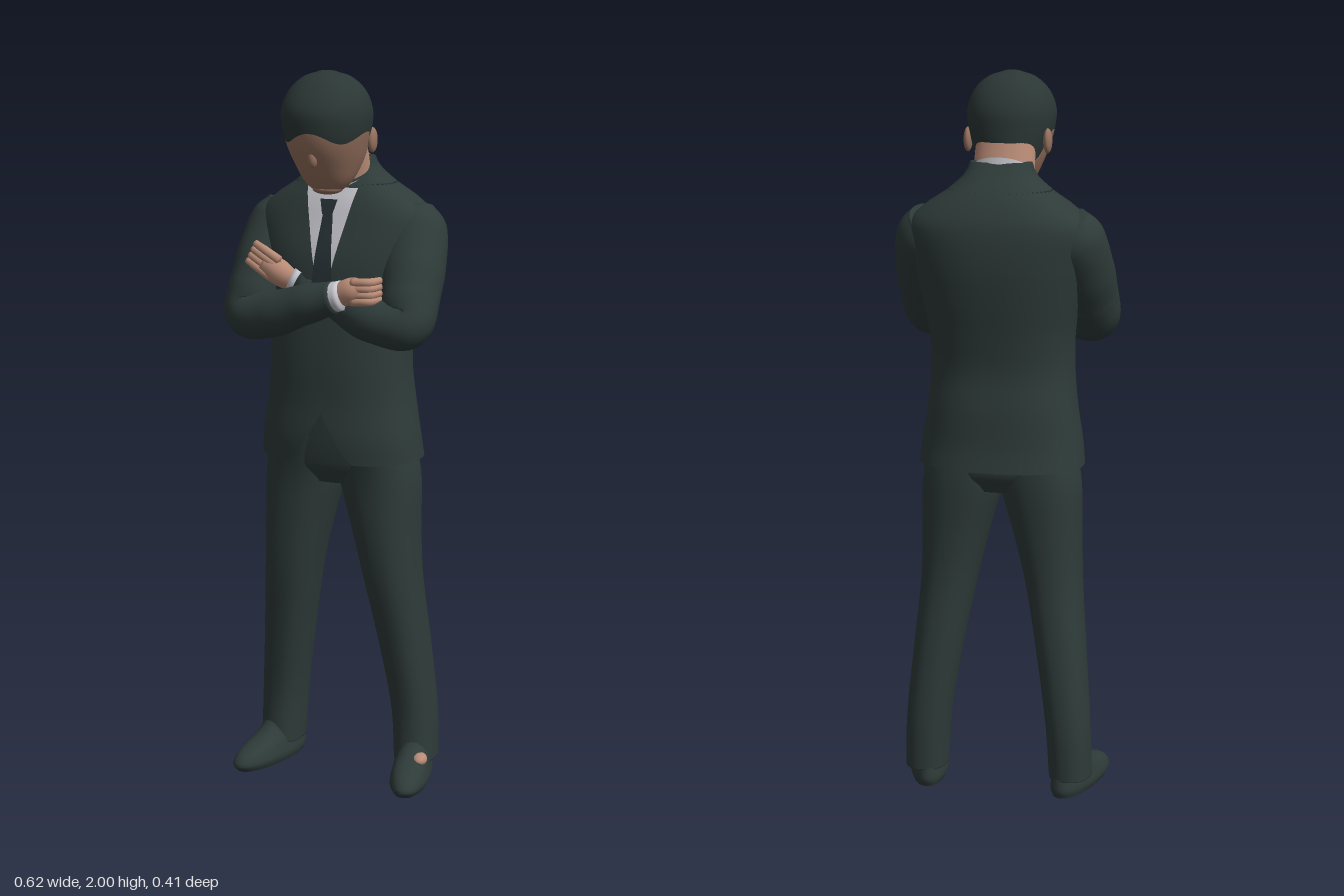
import * as THREE from 'three';

const mat = (name, color, side = THREE.FrontSide) => {
  const m = new THREE.MeshStandardMaterial({ color, side });
  m.name = name;
  return m;
};

// Grid of points fn(s, t): s runs along the rows, t around the columns.
function grid(rows, cols, fn, { closed = true, caps = null } = {}) {
  const pos = [], idx = [], w = closed ? cols : cols + 1;
  for (let i = 0; i <= rows; i++)
    for (let j = 0; j < w; j++) pos.push(...fn(i / rows, j / cols).toArray());
  for (let i = 0; i < rows; i++)
    for (let j = 0; j < cols; j++) {
      const k = (j + 1) % w, a = i * w + j, b = i * w + k;
      idx.push(a, b, b + w, a, b + w, a + w);
    }
  if (caps) {
    const n = pos.length / 3;
    pos.push(...caps[0].toArray(), ...caps[1].toArray());
    for (let j = 0; j < w; j++) {
      const k = (j + 1) % w;
      idx.push(n, k, j, n + 1, rows * w + j, rows * w + k);
    }
  }
  const g = new THREE.BufferGeometry();
  g.setAttribute('position', new THREE.Float32BufferAttribute(pos, 3));
  g.setIndex(idx);
  g.computeVertexNormals();
  return g;
}

// Smooth interpolation of cross-sections [y, xMin, xMax, zMin, zMax].
function sectionAt(tab, y) {
  let i = 0;
  while (i < tab.length - 2 && y > tab[i + 1][0]) i++;
  const p = tab[Math.max(i - 1, 0)], a = tab[i], b = tab[i + 1], q = tab[Math.min(i + 2, tab.length - 1)];
  const h = b[0] - a[0], t = THREE.MathUtils.clamp((y - a[0]) / h, 0, 1);
  return [1, 2, 3, 4].map((c) => {
    const m0 = (b[c] - p[c]) / (b[0] - p[0]) * h, m1 = (q[c] - a[c]) / (q[0] - a[0]) * h;
    const t2 = t * t, t3 = t2 * t;
    return (2 * t3 - 3 * t2 + 1) * a[c] + (t3 - 2 * t2 + t) * m0 + (3 * t2 - 2 * t3) * b[c] + (t3 - t2) * m1;
  });
}

// Rounded body through the sections; lo and hi may vary with the angle (0 = front).
function loft(tab, { n = 2, rows = 32, cols = 48, lo, hi, cap = true } = {}) {
  const low = lo || (() => tab[0][0]), high = hi || (() => tab[tab.length - 1][0]);
  const pw = (v) => Math.sign(v) * Math.pow(Math.abs(v), 2 / n);
  const mid = (y) => {
    const [a, b, c, d] = sectionAt(tab, y);
    return new THREE.Vector3((a + b) / 2, y, (c + d) / 2);
  };
  return grid(rows, cols, (s, t) => {
    const th = t * Math.PI * 2, k = (1 - Math.cos(s * Math.PI)) / 2;
    const y = low(th) + (high(th) - low(th)) * k;
    const [x0, x1, z0, z1] = sectionAt(tab, y);
    return new THREE.Vector3((x0 + x1) / 2 + (x1 - x0) / 2 * pw(Math.sin(th)), y,
      (z0 + z1) / 2 + (z1 - z0) / 2 * pw(Math.cos(th)));
  }, { caps: cap ? [mid(low(0)), mid(high(0))] : null });
}

// Round limb through points [x, y, z, radius].
function limb(pts, rows = 28, cols = 20) {
  const path = new THREE.CatmullRomCurve3(pts.map((p) => new THREE.Vector3(p[0], p[1], p[2])));
  const rad = (s) => {
    const f = s * (pts.length - 1), i = Math.min(Math.floor(f), pts.length - 2);
    return THREE.MathUtils.lerp(pts[i][3], pts[i + 1][3], THREE.MathUtils.smoothstep(f - i, 0, 1));
  };
  const rings = [];
  let nrm = new THREE.Vector3(0.1, 0.2, 1);
  for (let i = 0; i <= rows; i++) {
    const T = path.getTangent(i / rows);
    nrm = nrm.clone().addScaledVector(T, -nrm.dot(T)).normalize();
    rings.push({ c: path.getPoint(i / rows), T, N: nrm, B: T.clone().cross(nrm), r: rad(i / rows) });
  }
  const end = (o, d) => o.c.clone().addScaledVector(o.T, d * o.r * 0.45);
  return grid(rows, cols, (s, t) => {
    const o = rings[Math.round(s * rows)], th = t * Math.PI * 2;
    return o.c.clone().addScaledVector(o.N, o.r * Math.cos(th)).addScaledVector(o.B, o.r * Math.sin(th));
  }, { caps: [end(rings[0], -1), end(rings[rows], 1)] });
}

const sym = (rows) => rows.map(([y, x, z0, z1]) => [y, -x, x, z0, z1]);
const mirror = (rows) => rows.map(([y, x0, x1, z0, z1]) => [y, -x1, -x0, z0, z1]);

const TORSO = sym([
  [0.93, 0.23, -0.19, 0.125], [1.0, 0.222, -0.18, 0.13], [1.1, 0.207, -0.175, 0.125], [1.2, 0.198, -0.165, 0.125],
  [1.3, 0.2, -0.175, 0.12], [1.4, 0.218, -0.19, 0.11], [1.5, 0.238, -0.2, 0.1], [1.6, 0.25, -0.195, 0.07],
  [1.65, 0.205, -0.175, 0.055], [1.69, 0.145, -0.15, 0.038], [1.73, 0.1, -0.115, 0.015], [1.765, 0.085, -0.085, -0.005]]);
const HEAD = sym([
  [1.675, 0.03, 0.04, 0.1], [1.7, 0.06, 0.01, 0.13], [1.75, 0.087, -0.03, 0.165], [1.8, 0.105, -0.045, 0.192],
  [1.85, 0.118, -0.048, 0.204], [1.9, 0.12, -0.045, 0.204], [1.95, 0.1, -0.02, 0.175], [1.985, 0.06, 0.02, 0.135],
  [1.999, 0.015, 0.065, 0.095]]);
const LEG = [
  [0.05, 0.15, 0.267, -0.155, 0.0], [0.2, 0.14, 0.262, -0.16, 0.0], [0.4, 0.11, 0.245, -0.15, 0.03],
  [0.6, 0.072, 0.228, -0.135, 0.065], [0.75, 0.035, 0.224, -0.14, 0.075], [0.88, 0.0, 0.222, -0.15, 0.08],
  [1.0, -0.01, 0.2, -0.15, 0.1]];
const SHOE = sym([
  [0, 0.048, -0.07, 0.215], [0.02, 0.055, -0.078, 0.23], [0.05, 0.05, -0.075, 0.2], [0.075, 0.045, -0.072, 0.13],
  [0.1, 0.04, -0.07, 0.09], [0.13, 0.038, -0.065, 0.07]]);

// Thin four-cornered plate laid on the chest; corners [x, y] run counter-clockwise from bottom left.
function plate(corners, offset) {
  const [bl, br, tr, tl] = corners, L = THREE.MathUtils.lerp;
  return grid(12, 8, (s, t) => {
    const x = L(L(bl[0], br[0], t), L(tl[0], tr[0], t), s), y = L(L(bl[1], br[1], t), L(tl[1], tr[1], t), s);
    const [, rx, z0, z1] = sectionAt(TORSO, y), u = Math.min(Math.abs(x / rx), 1);
    return new THREE.Vector3(x, y, (z0 + z1) / 2 + (z1 - z0) / 2 * Math.pow(1 - u ** 2.4, 1 / 2.4) + offset);
  }, { closed: false });
}

export function createModel() {
  const model = new THREE.Group();
  model.name = 'standingMan';
  const suit = mat('suit', 0x2e3b39, THREE.DoubleSide);
  const hair = mat('hair', 0x2b3735);
  const tie = mat('tie', 0x273034, THREE.DoubleSide);
  const shirt = mat('shirt', 0xc6c6cd, THREE.DoubleSide);
  const skin = mat('skin', 0xb98b76);
  const faceSkin = mat('faceSkin', 0x97725f);
  const add = (name, geo, m, parent = model) => {
    const mesh = new THREE.Mesh(geo, m);
    mesh.name = name;
    parent.add(mesh);
    return mesh;
  };
  const blob = (name, m, p, s, parent) => {
    const b = add(name, new THREE.SphereGeometry(1, 20, 14), m, parent);
    b.position.set(...p);
    b.scale.set(...s);
  };

  // Jacket with rounded front cutaway at the hem
  const hem = (th) => {
    const f = Math.cos(th) > 0 ? Math.max(0, 1 - Math.abs(Math.sin(th)) / 0.33) : 0;
    return 0.935 + 0.14 * Math.pow(f, 1.4);
  };
  add('jacket', loft(TORSO, { n: 2.4, rows: 56, cols: 96, lo: hem, cap: false }), suit);
  add('jacketTop', loft(TORSO.slice(-3), { n: 2.4, rows: 6 }), suit);

  // Shirt front, tie, lapels and pocket flaps
  add('shirtFront', plate([[-0.02, 1.44], [0.02, 1.44], [0.078, 1.685], [-0.078, 1.685]], 0.005), shirt);
  add('tieBlade', plate([[-0.03, 1.43], [0.03, 1.43], [0.014, 1.62], [-0.014, 1.62]], 0.01), tie);
  add('tieKnot', plate([[-0.015, 1.615], [0.015, 1.615], [0.025, 1.655], [-0.025, 1.655]], 0.014), tie);
  for (const s of [-1, 1]) {
    const lap = [[s * 0.018, 1.44], [s * 0.055, 1.44], [s * 0.125, 1.63], [s * 0.075, 1.69]];
    const flap = [[s * 0.09, 1.11], [s * 0.175, 1.12], [s * 0.175, 1.155], [s * 0.09, 1.145]];
    const order = (q) => (s > 0 ? q : [q[1], q[0], q[3], q[2]]);
    add('lapel', plate(order(lap), 0.008), suit);
    add('pocketFlap', plate(order(flap), 0.006), suit);
  }

  // Neck and shirt collar
  add('neck', loft(sym([[1.6, 0.08, -0.1, 0.03], [1.72, 0.084, -0.075, 0.04], [1.82, 0.082, -0.045, 0.07]]), { rows: 12 }), skin);
  add('collar', loft(sym([[1.6, 0.085, -0.105, 0.035], [1.7, 0.09, -0.096, 0.045], [1.79, 0.09, -0.084, 0.05]]),
    { rows: 12, lo: () => 1.6, hi: (th) => 1.735 - 0.045 * Math.cos(th), cap: false }), shirt);

  // Head, bowed forward, divided along the hairline
  const hairline = (th) => {
    const a = Math.acos(Math.cos(th));
    const back = THREE.MathUtils.smoothstep(a, 1.65, 2.1);
    return THREE.MathUtils.lerp(1.828 + 0.014 * Math.cos(4 * a), 1.765, back);
  };
  add('face', loft(HEAD, { n: 2.1, cols: 72, hi: hairline, cap: false }), faceSkin);
  add('hair', loft(HEAD, { n: 2.1, cols: 72, lo: hairline, cap: false }), hair);
  blob('crown', hair, [0, 1.993, 0.08], [0.03, 0.007, 0.03]);
  blob('chin', faceSkin, [0, 1.685, 0.075], [0.042, 0.016, 0.042]);
  blob('nose', faceSkin, [0, 1.775, 0.172], [0.014, 0.026, 0.016]);
  for (const s of [-1, 1]) blob('ear', faceSkin, [s * 0.111, 1.815, 0.03], [0.012, 0.034, 0.021]);

  // Crossed arms: the right forearm lies in front
  const upperArm = (s) => [[s * 0.175, 1.6, -0.075, 0.075], [s * 0.2, 1.555, -0.055, 0.09],
    [s * 0.215, 1.47, -0.005, 0.09], [s * 0.226, 1.39, 0.045, 0.082], [s * 0.232, 1.333, 0.082, 0.07]];
  add('rightSleeve', limb([...upperArm(-1), [-0.15, 1.338, 0.108, 0.064], [-0.05, 1.372, 0.123, 0.056],
    [0.045, 1.4, 0.128, 0.045]], 56, 28), suit);
  add('leftSleeve', limb([...upperArm(1), [0.15, 1.338, 0.1, 0.062], [0.03, 1.375, 0.075, 0.053],
    [-0.08, 1.425, 0.08, 0.045]], 56, 28), suit);
  add('rightCuff', limb([[0.03, 1.397, 0.129, 0.042], [0.068, 1.407, 0.131, 0.041]], 4), shirt);
  add('leftCuff', limb([[-0.07, 1.421, 0.08, 0.042], [-0.1, 1.433, 0.083, 0.04]], 4), shirt);
  add('rightPalm', limb([[0.06, 1.407, 0.13, 0.034], [0.095, 1.42, 0.13, 0.037], [0.13, 1.422, 0.125, 0.03]], 12), skin);
  add('leftPalm', limb([[-0.09, 1.43, 0.085, 0.033], [-0.135, 1.45, 0.09, 0.037], [-0.18, 1.475, 0.09, 0.03]], 12), skin);
  for (let i = 0; i < 4; i++) {
    const y = 1.395 + i * 0.017;
    add('rightFinger', limb([[0.1, y, 0.148, 0.013], [0.148, y + 0.002, 0.142, 0.012], [0.163, y + 0.003, 0.1, 0.01]], 10, 10), skin);
    const d = i * 0.016;
    add('leftFinger', limb([[-0.155 + d * 0.5, 1.438 + d, 0.106, 0.013], [-0.195 + d * 0.5, 1.462 + d, 0.106, 0.012],
      [-0.232 + d * 0.5, 1.478 + d, 0.092, 0.01]], 10, 10), skin);
  }

  // Trousers
  add('hips', loft(sym([[0.865, 0.12, -0.12, 0.055], [0.92, 0.212, -0.15, 0.085], [1.1, 0.185, -0.14, 0.1]]), { n: 2.3 }), suit);
  add('leftLeg', loft(LEG, { n: 2.3 }), suit);
  add('rightLeg', loft(mirror(LEG), { n: 2.3 }), suit);

  // Shoes, turned slightly outward
  for (const s of [-1, 1]) {
    const foot = new THREE.Group();
    foot.name = s > 0 ? 'leftFoot' : 'rightFoot';
    foot.position.set(s * 0.205, 0, -0.08);
    foot.rotation.y = s * 0.22;
    add('shoe', loft(SHOE, { n: 2.2, rows: 20 }), suit, foot);
    if (s > 0) blob('instep', skin, [0.026, 0.072, 0.095], [0.022, 0.018, 0.03], foot);
    model.add(foot);
  }
  return model;
}
